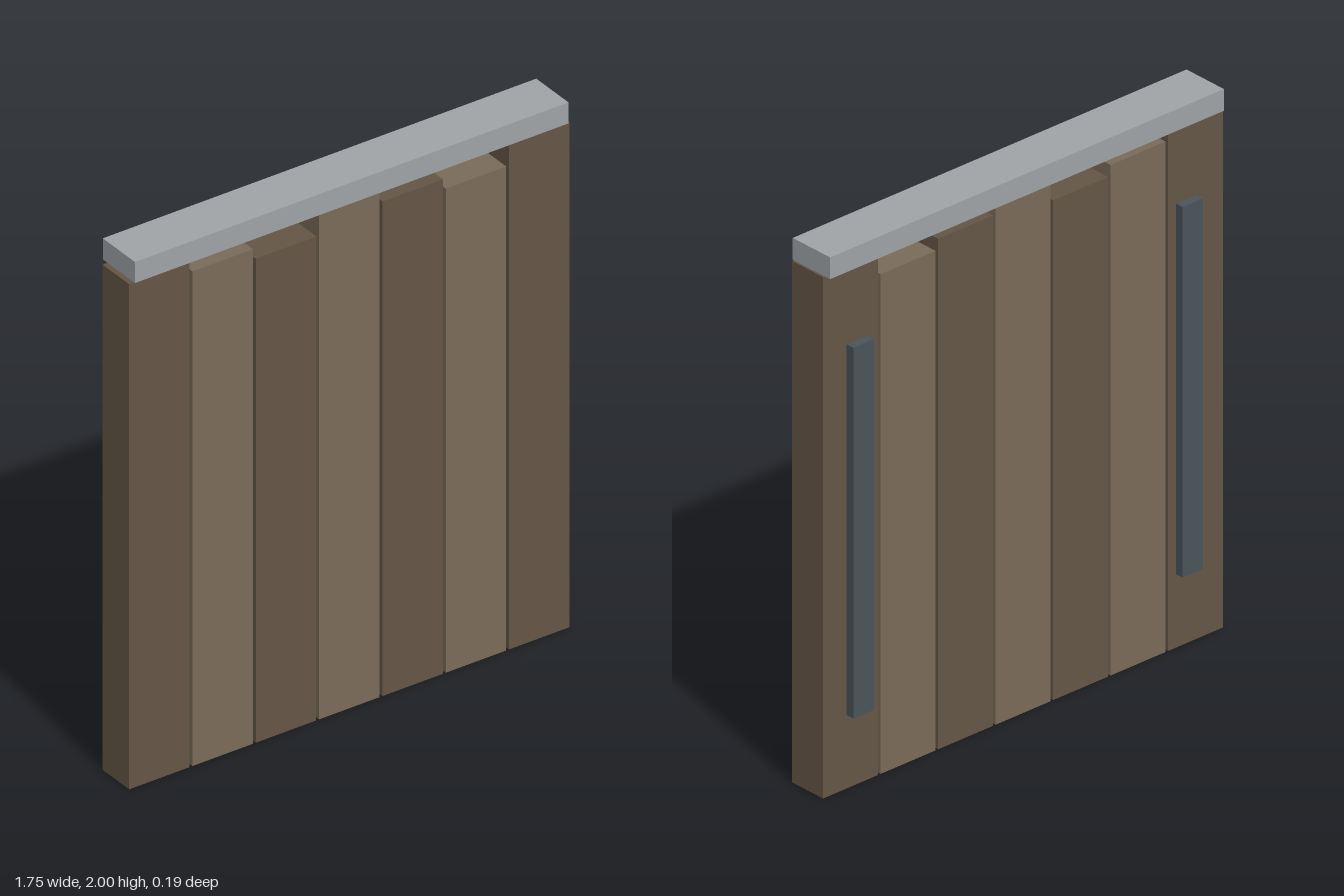
import * as THREE from 'three';

const material = (color) => new THREE.MeshStandardMaterial({ color, flatShading: true });

export function createModel() {
  const model = new THREE.Group();
  model.name = 'plankPanel';
  const darkWood = material(0x655646);
  const lightWood = material(0x7a6b58);
  const capMetal = material(0x9fa4a7);
  const battenMetal = material(0x4a545a);

  // Box given by its centre in x and its ranges in y and z
  function addBox(name, mat, x, width, y0, y1, z0, z1) {
    const mesh = new THREE.Mesh(new THREE.BoxGeometry(width, y1 - y0, z1 - z0), mat);
    mesh.position.set(x, (y0 + y1) / 2, (z0 + z1) / 2);
    mesh.name = name;
    model.add(mesh);
  }

  // Seven upright planks, alternating in tone and stepping in height
  const heights = [1.92, 1.88, 1.84];
  for (let i = 0; i < 7; i++) {
    const x = (i - 3) * 0.2515 - 0.001;
    addBox(`plank${i + 1}`, i % 2 ? lightWood : darkWood, x, 0.24, 0, heights[i % 3], -0.062, 0.088);
  }

  // Cap rail along the top
  addBox('capRail', capMetal, 0.005, 1.722, 1.92, 2, -0.088, 0.093);

  // Vertical battens on the back
  for (const side of [-1, 1]) {
    addBox(side > 0 ? 'leftBatten' : 'rightBatten', battenMetal, side * 0.72 + 0.005, 0.09, 0.27, 1.635, -0.094, -0.06);
  }
  return model;
}
